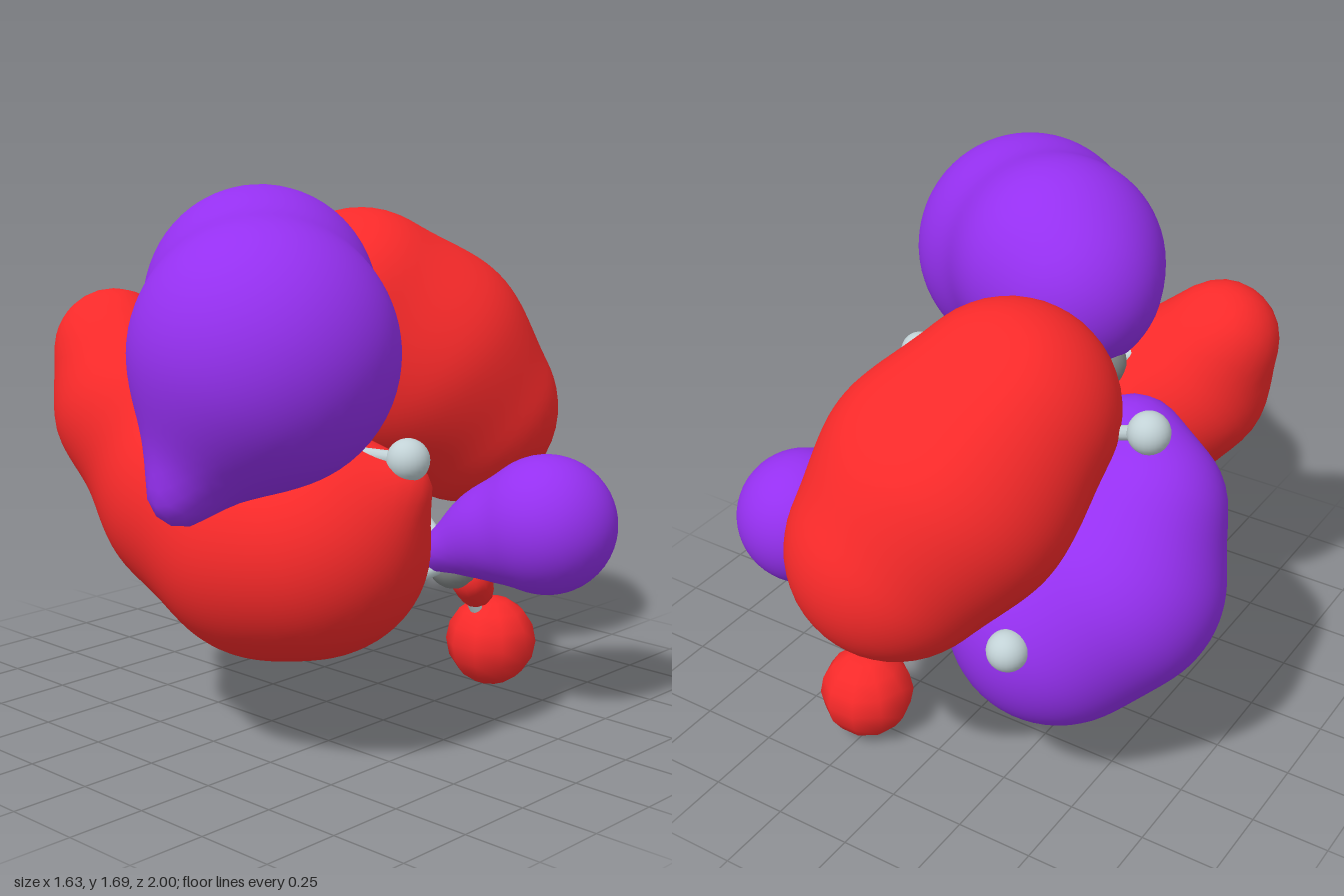
import * as THREE from 'three';
import { mergeVertices } from 'three/addons/utils/BufferGeometryUtils.js';

const red = new THREE.MeshStandardMaterial({ color: 0xfa2a2a });
const purple = new THREE.MeshStandardMaterial({ color: 0x9530f0 });
const carbonGrey = new THREE.MeshStandardMaterial({ color: 0x858a8a });
const paleGrey = new THREE.MeshStandardMaterial({ color: 0xc2d2d6 });

// Distance to the tapered capsule that wraps two balls [x, y, z, r]
function capsule(p, a, b) {
  const ab = new THREE.Vector3(b[0] - a[0], b[1] - a[1], b[2] - a[2]);
  const ap = new THREE.Vector3(p.x - a[0], p.y - a[1], p.z - a[2]);
  const len = ab.length();
  const along = ap.dot(ab) / len;
  const across = Math.sqrt(Math.max(0, ap.lengthSq() - along * along));
  const slope = THREE.MathUtils.clamp((b[3] - a[3]) / len, -0.95, 0.95);
  const t = THREE.MathUtils.clamp((along + across * slope / Math.sqrt(1 - slope * slope)) / len, 0, 1);
  return Math.hypot(along - t * len, across) - THREE.MathUtils.lerp(a[3], b[3], t);
}

// Smooth union of capsules: negative inside
const K = 0.03;
function field(p, balls, links) {
  let sum = 0;
  for (const [i, j] of links) sum += Math.exp(-capsule(p, balls[i], balls[j]) / K);
  return -K * Math.log(sum);
}

// Rounded lobe: a sphere whose vertices are pushed out to the blended surface
function lobe(name, material, centre, balls, links, detail = 14) {
  let geo = new THREE.IcosahedronGeometry(1, detail);
  geo.deleteAttribute('normal');
  geo.deleteAttribute('uv');
  geo = mergeVertices(geo, 1e-4);
  const c = new THREE.Vector3(...centre);
  const pos = geo.attributes.position;
  const dir = new THREE.Vector3();
  const p = new THREE.Vector3();
  const at = (dist) => field(p.copy(c).addScaledVector(dir, dist), balls, links);
  for (let i = 0; i < pos.count; i++) {
    dir.fromBufferAttribute(pos, i).normalize();
    // walk inwards to the outermost crossing, then bisect
    let lo = 1;
    while (lo > 0.02 && at(lo) > 0) lo -= 0.02;
    let hi = lo + 0.02;
    for (let k = 0; k < 10; k++) {
      const mid = (lo + hi) / 2;
      if (at(mid) > 0) hi = mid;
      else lo = mid;
    }
    p.copy(c).addScaledVector(dir, lo);
    pos.setXYZ(i, p.x, p.y, p.z);
  }
  geo.computeVertexNormals();
  const mesh = new THREE.Mesh(geo, material);
  mesh.name = name;
  return mesh;
}

function atom(name, material, at, r, wide = 24, high = 16) {
  const mesh = new THREE.Mesh(new THREE.SphereGeometry(r, wide, high), material);
  mesh.position.set(...at);
  mesh.name = name;
  return mesh;
}

function bond(a, b) {
  const from = new THREE.Vector3(...a);
  const to = new THREE.Vector3(...b);
  const dir = to.clone().sub(from);
  const mesh = new THREE.Mesh(new THREE.CylinderGeometry(0.022, 0.022, dir.length(), 12), paleGrey);
  mesh.position.copy(from).add(to).multiplyScalar(0.5);
  mesh.quaternion.setFromUnitVectors(new THREE.Vector3(0, 1, 0), dir.normalize());
  mesh.name = 'bond';
  return mesh;
}

export function createModel() {
  const model = new THREE.Group();
  model.name = 'molecularOrbital';

  // Large lobes
  model.add(lobe('frontUpperLobe', purple, [0.22, 1.28, 0.52], [
    [0.1, 1.36, 0.38, 0.305], [0.36, 1.255, 0.62, 0.345],
    [0.27, 0.89, 0.85, 0.075], [0, 1.34, 0.3, 0.25],
  ], [[0, 1], [1, 2], [0, 2], [0, 3], [1, 3]]));
  model.add(lobe('frontLowerLobe', red, [0, 0.75, 0.41], [
    [-0.43, 1.18, 0.5, 0.185], [-0.33, 1.0, 0.49, 0.24], [-0.08, 0.77, 0.43, 0.305],
    [0.15, 0.66, 0.4, 0.33], [0.31, 0.67, 0.38, 0.315], [0.27, 0.61, 0.25, 0.24],
    [0.54, 0.84, 0.27, 0.1], [0.23, 0.42, 0.05, 0.08], [0.1, 0.86, 0.3, 0.18],
  ], [[0, 1], [1, 2], [2, 3], [3, 4], [3, 5], [4, 6], [5, 7], [2, 8], [5, 8]], 18));
  model.add(lobe('backUpperLobe', red, [-0.09, 1.08, -0.53], [
    [-0.18, 1.26, -0.35, 0.325], [-0.09, 1.075, -0.53, 0.375], [0, 0.895, -0.675, 0.325],
  ], [[0, 1], [1, 2]]));
  model.add(lobe('backSideLobe', purple, [-0.43, 0.72, -0.24], [
    [-0.42, 1.05, -0.04, 0.14], [-0.52, 0.93, -0.14, 0.225],
    [-0.48, 0.71, -0.25, 0.32], [-0.34, 0.585, -0.33, 0.32],
  ], [[0, 1], [1, 2], [2, 3], [0, 3]]));

  // Small lobes
  model.add(lobe('sideBulb', purple, [0.54, 0.62, -0.36], [
    [0.59, 0.635, -0.38, 0.22], [0.42, 0.59, -0.32, 0.13], [0.26, 0.51, -0.24, 0.06],
  ], [[0, 1], [1, 2]], 9));
  model.add(atom('lowerBulb', red, [0.26, 0.155, -0.525], 0.15, 10, 8));
  model.add(lobe('lowerNeck', red, [0.28, 0.37, -0.41], [
    [0.28, 0.4, -0.39, 0.07], [0.27, 0.35, -0.43, 0.06],
  ], [[0, 1]], 2));

  // Skeleton inside the lobes
  const carbons = [
    [-0.27, 1.12, -0.17], [-0.13, 1.12, 0.25], [0.27, 0.97, 0.48],
    [0.25, 0.46, -0.34], [-0.18, 0.82, -0.37],
  ];
  const hydrogens = [ // [position, index of its carbon]
    [[-0.59, 1.27, -0.265], 0], [[-0.37, 0.67, -0.66], 4], [[-0.43, 1.18, 0.5], 1],
    [[0.27, 0.87, 0.82], 2], [[0.59, 0.94, 0.28], 2],
    [[0.26, 0.155, -0.525], 3], [[0.59, 0.63, -0.38], 3], [[0.23, 0.42, 0.05], 3],
  ];
  const skeleton = new THREE.Group();
  skeleton.name = 'skeleton';
  carbons.forEach((c) => skeleton.add(atom('carbon', carbonGrey, c, 0.09)));
  for (const [i, j] of [[0, 1], [1, 2], [0, 4], [4, 3]]) skeleton.add(bond(carbons[i], carbons[j]));
  for (const [h, i] of hydrogens) {
    skeleton.add(atom('hydrogen', paleGrey, h, 0.063), bond(h, carbons[i]));
  }
  model.add(skeleton);
  return model;
}
